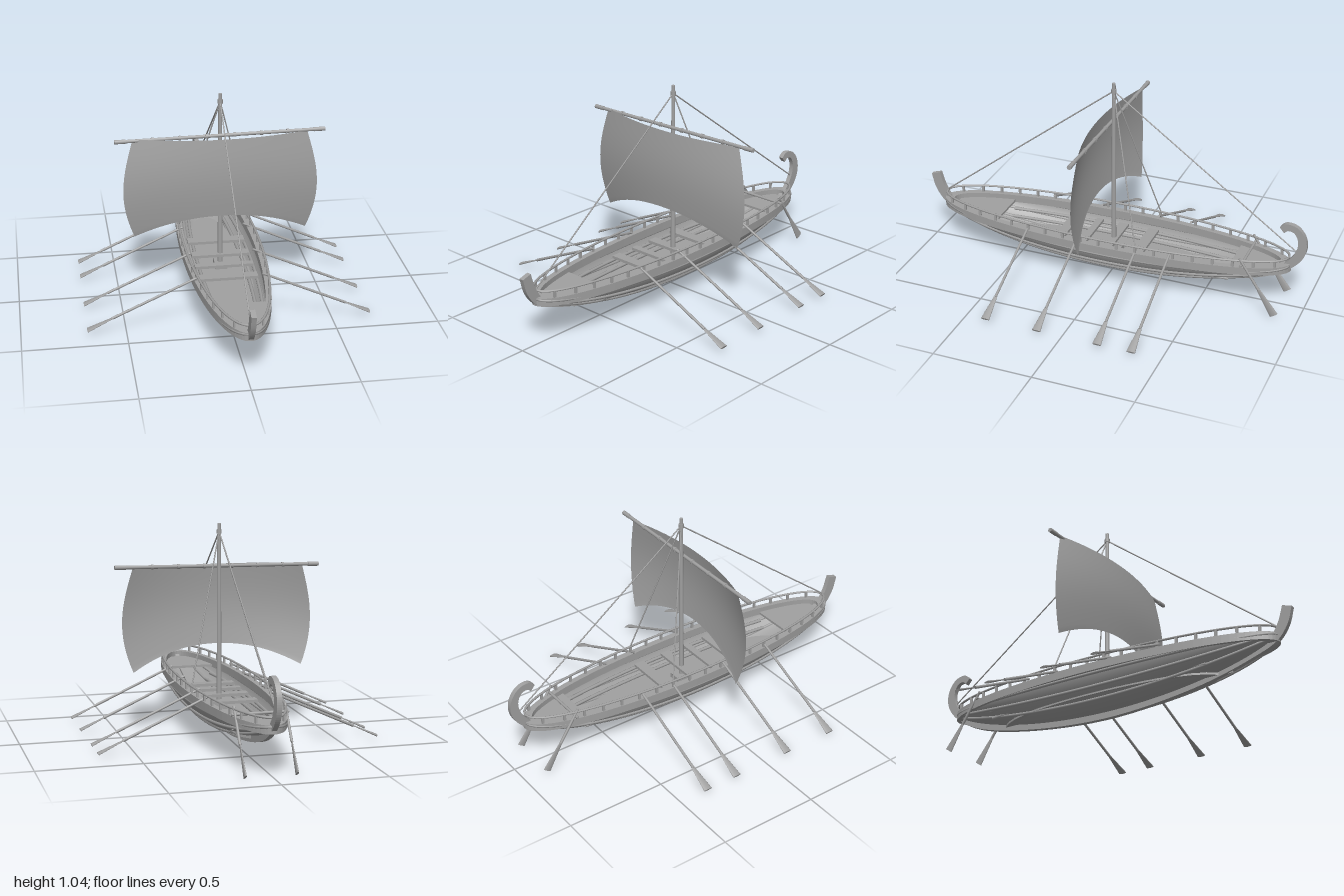
import * as THREE from 'three';
import { ParametricGeometry } from 'three/addons/geometries/ParametricGeometry.js';

const wood = new THREE.MeshStandardMaterial({ color: 0xa0a0a0, side: THREE.DoubleSide });
wood.name = 'plain grey';

const LEN = 0.92, BEAM = 0.19, DEPTH = 0.175, TOP = 0.24;
const V = (x, y, z) => new THREE.Vector3(x, y, z);
const taper = (z) => Math.max(0, 1 - (z / LEN) ** 2);
const halfBeam = (z) => BEAM * Math.sqrt(taper(z));
const hullDepth = (z) => DEPTH * taper(z) ** 0.75;

// Point on the hull skin: t runs stern to bow, a runs round the section
function hullPoint(t, a, grow = 0) {
  const z = LEN * Math.sin(t);
  return V((halfBeam(z) + grow) * Math.cos(a), TOP - (hullDepth(z) + grow) * Math.sin(a), z);
}

export function createModel() {
  const model = new THREE.Group();
  model.name = 'oaredSailingShip';
  const ship = new THREE.Group();
  ship.name = 'ship';
  ship.position.x = 0.01;
  model.add(ship);

  const add = (name, geometry, parent = ship) => {
    const mesh = new THREE.Mesh(geometry, wood);
    mesh.name = name;
    parent.add(mesh);
    return mesh;
  };
  const rod = (name, a, b, r0, r1 = r0, sides = 8) => {
    const dir = b.clone().sub(a);
    const mesh = add(name, new THREE.CylinderGeometry(r1, r0, dir.length(), sides));
    mesh.position.copy(a).addScaledVector(dir, 0.5);
    mesh.quaternion.setFromUnitVectors(V(0, 1, 0), dir.normalize());
    return mesh;
  };
  const box = (name, w, h, d, x, y, z) => add(name, new THREE.BoxGeometry(w, h, d)).position.set(x, y, z);
  const tube = (name, points, r, n = 64) =>
    add(name, new THREE.TubeGeometry(new THREE.CatmullRomCurve3(points), n, r, 6));
  // Flat plan shape (x, z) with its upper face at the given height
  const plate = (name, shape, top, thick) => {
    const g = new THREE.ExtrudeGeometry(shape, { depth: thick, bevelEnabled: false, curveSegments: 48 });
    add(name, g.rotateX(Math.PI / 2).translate(0, top, 0));
  };

  // Hull skin
  add('hull', new ParametricGeometry((u, v, p) =>
    p.copy(hullPoint((v - 0.5) * Math.PI, u * Math.PI)), 28, 56));

  // Wales along the planking
  for (const a of [0.24, 0.58, 0.94]) for (const s of [1, -1]) {
    const pts = [];
    for (let i = 0; i <= 32; i++) {
      const p = hullPoint((i / 32 - 0.5) * Math.PI, a, 0.002);
      pts.push(V(p.x * s, p.y, p.z));
    }
    tube('wale', pts, 0.008);
  }

  // Gunwale
  const rim = new THREE.Shape().absellipse(0, 0, 0.199, 0.925, 0, Math.PI * 2);
  rim.holes.push(new THREE.Path().absellipse(0, 0, 0.168, 0.875, 0, Math.PI * 2));
  plate('gunwale', rim, 0.247, 0.04);

  // Hand rail and its posts
  const railPoints = [];
  for (let i = 0; i < 64; i++) {
    const t = (i / 64) * Math.PI * 2;
    railPoints.push(V(0.189 * Math.cos(t), 0.28, 0.915 * Math.sin(t)));
  }
  const railCurve = new THREE.CatmullRomCurve3(railPoints, true);
  add('rail', new THREE.TubeGeometry(railCurve, 128, 0.006, 6, true));
  for (let i = 0; i < 19; i++) {
    const z = -0.86 + i * 0.0955;
    const x = 0.189 * Math.sqrt(1 - (z / 0.915) ** 2);
    for (const s of [1, -1]) box('railPost', 0.01, 0.04, 0.012, s * x, 0.26, z);
  }

  // Floor and end decks follow the hull outline
  const deck = (name, z0, z1, y, inset) => {
    const right = [], left = [];
    for (let i = 0; i <= 24; i++) {
      const z = z0 + (z1 - z0) * i / 24;
      const drop = (TOP - y) / Math.max(hullDepth(z), 0.001);
      const w = Math.max(0.002, halfBeam(z) * Math.sqrt(Math.max(0, 1 - drop * drop)) - inset);
      right.push(new THREE.Vector2(w, z));
      left.unshift(new THREE.Vector2(-w, z));
    }
    plate(name, new THREE.Shape([...right, ...left]), y, 0.012);
  };
  deck('floor', -0.68, 0.68, 0.125, 0.004);
  deck('foreDeck', 0.59, 0.86, 0.222, 0.004);
  deck('aftDeck', -0.86, -0.64, 0.222, 0.004);

  // Inner stringers that carry the benches
  for (const s of [1, -1]) for (const [k, y] of [[0.6, 0.145], [0.78, 0.175]]) {
    const pts = [];
    for (let i = 0; i <= 12; i++) {
      const z = -0.64 + i * 0.1025;
      pts.push(V(s * k * halfBeam(z), y, z));
    }
    tube('stringer', pts, 0.009, 32);
  }
  for (const [z, d] of [[-0.17, 0.055], [-0.01, 0.05], [0.12, 0.035], [0.25, 0.05]])
    box('bench', 0.29, 0.014, d, 0, 0.19, z);

  // Keel rising into the stem and the curled sternpost: z, y, half thickness
  const spine = [[0.975, 0.37, 0.025], [0.95, 0.29, 0.026], [0.905, 0.227, 0.022], [0.8, 0.175, 0.016],
    [0.5, 0.096, 0.015], [0, 0.05, 0.016], [-0.5, 0.092, 0.015], [-0.8, 0.168, 0.016], [-0.925, 0.25, 0.02],
    [-0.97, 0.32, 0.023], [-0.973, 0.385, 0.02], [-0.94, 0.436, 0.017], [-0.895, 0.444, 0.018], [-0.872, 0.425, 0.017]];
  const spineCurve = new THREE.CatmullRomCurve3(spine.map(([z, y, h]) => V(z, y, h)));
  const lower = [], upper = [];
  for (let i = 0; i <= 90; i++) {
    const p = spineCurve.getPoint(i / 90), d = spineCurve.getTangent(i / 90);
    const l = Math.hypot(d.x, d.y), nx = -d.y / l * p.z, ny = d.x / l * p.z;
    lower.push(new THREE.Vector2(p.x + nx, p.y + ny));
    upper.unshift(new THREE.Vector2(p.x - nx, p.y - ny));
  }
  const keel = new THREE.ExtrudeGeometry(new THREE.Shape([...lower, ...upper]), { depth: 0.024, bevelEnabled: false });
  add('keelAndPosts', keel.translate(0, 0, -0.012).rotateY(-Math.PI / 2));

  // Mast and yard
  rod('mast', V(0, 0.11, -0.01), V(0, 1.04, -0.01), 0.013, 0.009, 12);
  box('mastStep', 0.06, 0.03, 0.09, 0, 0.135, -0.01);
  rod('mastCollar', V(0, 0.99, -0.01), V(0, 1.01, -0.01), 0.013, 0.013, 12);
  rod('yard', V(-0.515, 0.824, 0.005), V(0.515, 0.838, 0.005), 0.009);
  for (const x of [-0.33, -0.2, -0.07, 0.07, 0.2, 0.33])
    rod('yardLashing', V(x - 0.006, 0.831 + x * 0.0136, 0.005), V(x + 0.006, 0.831 + x * 0.0136, 0.005), 0.012);
  for (const s of [1, -1])
    rod('yardEnd', V(s * 0.46, 0.831 + s * 0.0062, 0.005), V(s * 0.515, 0.831 + s * 0.007, 0.005), 0.011);

  // Billowing sail with an arched foot
  add('sail', new ParametricGeometry((u, v, p) => {
    const k = u * 2 - 1;
    const halfWidth = 0.427 + 0.052 * Math.sin(Math.PI * v ** 0.9);
    const foot = 0.435 - 0.115 * Math.abs(k) ** 2.1;
    const y = foot + (0.833 - foot) * v;
    const z = 0.003 + 0.067 * (1 - k * k) + 0.015 * Math.sin(Math.PI * v);
    p.set(k * halfWidth, y, z);
  }, 32, 20));

  // Stays and shrouds
  const head = V(0, 1.0, -0.01);
  rod('forestay', V(0, 0.28, 0.92), head, 0.0035, 0.0035, 6);
  rod('backstay', V(0, 0.31, -0.955), head, 0.0035, 0.0035, 6);
  for (const s of [1, -1]) rod('shroud', V(s * 0.186, 0.275, -0.195), head, 0.0035, 0.0035, 6);

  // Oars: a round loom that widens into a flat blade
  const oar = (name, a, b, parent, blade = 0.13) => {
    const group = new THREE.Group();
    group.name = name;
    const dir = b.clone().sub(a), length = dir.length();
    const loom = length - blade;
    add('loom', new THREE.CylinderGeometry(0.006, 0.007, loom, 8), group).position.y = -loom / 2;
    const flat = new THREE.CylinderGeometry(0.009, 0.022, blade, 12).scale(0.28, 1, 1);
    add('blade', flat, group).position.y = -length + blade / 2;
    group.position.copy(a);
    group.quaternion.setFromUnitVectors(V(0, -1, 0), dir.normalize());
    parent.add(group);
  };
  for (const s of [1, -1]) {
    for (const z of [0.385, 0.118, -0.19, -0.36])
      oar('oar', V(s * 0.155, 0.265, z), V(s * 0.685, 0.024, z), model);
    oar('steeringOar', V(s * 0.12, 0.292, -0.7), V(s * 0.12, 0.013, -0.885), ship, 0.15);
  }
  rod('steeringBeam', V(-0.135, 0.255, -0.71), V(0.135, 0.255, -0.71), 0.007);

  return model;
}
